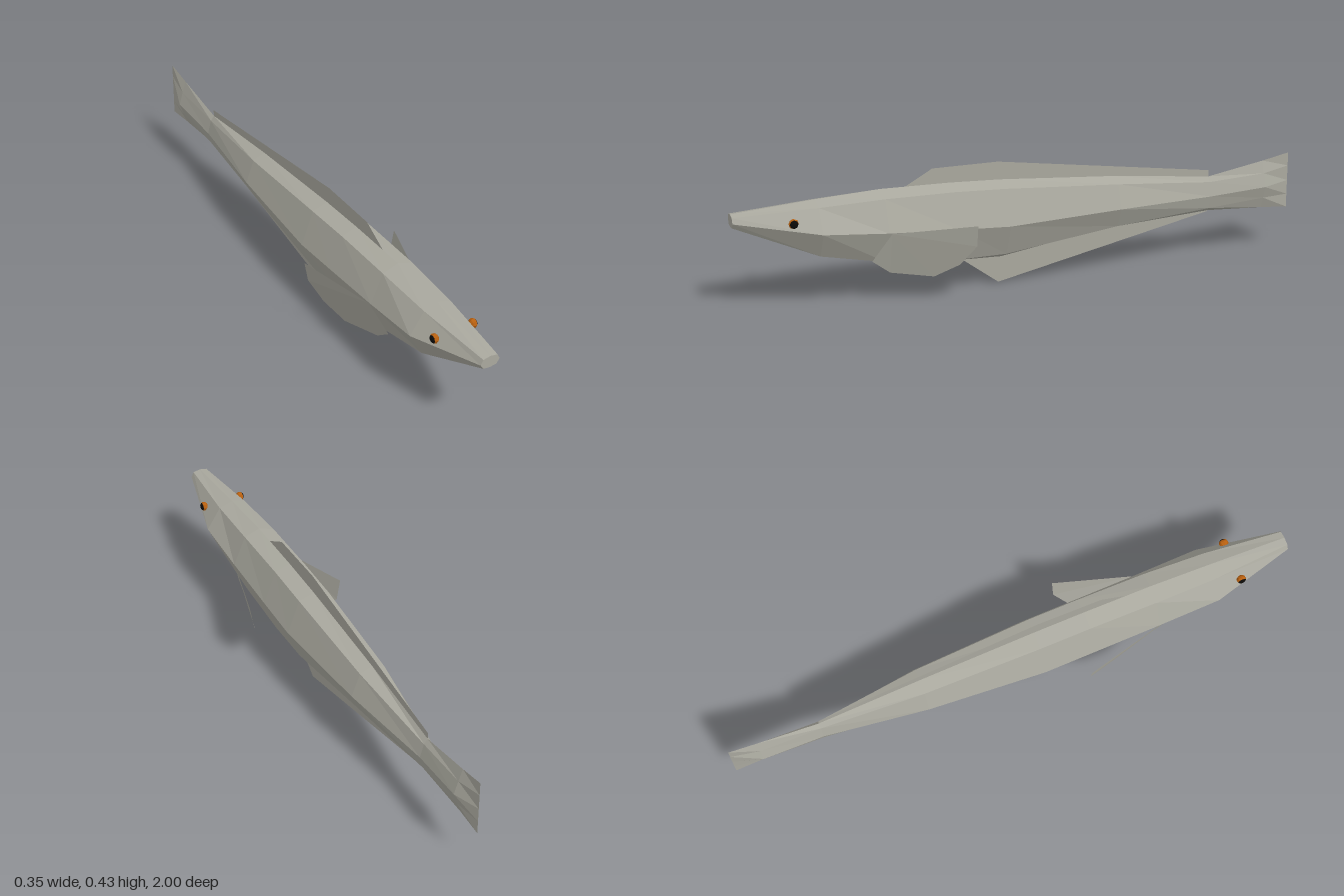
import * as THREE from 'three';

const skin = new THREE.MeshStandardMaterial({ color: 0xa9a89e, flatShading: true, side: THREE.DoubleSide });
skin.name = 'grey skin';
const iris = new THREE.MeshStandardMaterial({ color: 0xb8600f, flatShading: true });
iris.name = 'orange iris';
const pupil = new THREE.MeshStandardMaterial({ color: 0x0c0a08, flatShading: true });
pupil.name = 'black pupil';

function facets(points) {
  const g = new THREE.BufferGeometry();
  g.setAttribute('position', new THREE.Float32BufferAttribute(points.flat(), 3));
  g.computeVertexNormals();
  return g;
}

function addMesh(parent, name, geometry, material) {
  const m = new THREE.Mesh(geometry, material);
  m.name = name;
  parent.add(m);
  return m;
}

// Eight-sided ring: ridge, shoulder, flank, lower edge and keel, mirrored in x
function ring([z, top, sx, sy, fx, fy, lx, ly, keel]) {
  return [[0, top, z], [sx, sy, z], [fx, fy, z], [lx, ly, z], [0, keel, z],
    [-lx, ly, z], [-fx, fy, z], [-sx, sy, z]];
}

// Skin a run of rings from front to back, with optional end caps
function loft(sections, capFront, capBack) {
  const rings = sections.map(ring);
  const out = [];
  for (let i = 0; i < rings.length - 1; i++) {
    for (let j = 0; j < 8; j++) {
      const k = (j + 1) % 8;
      const a = rings[i][j], b = rings[i][k], c = rings[i + 1][k], d = rings[i + 1][j];
      out.push(a, b, c, a, c, d);
    }
  }
  const first = rings[0], last = rings[rings.length - 1];
  for (let j = 1; j < 7; j++) {
    if (capFront) out.push(first[0], first[j + 1], first[j]);
    if (capBack) out.push(last[0], last[j], last[j + 1]);
  }
  return facets(out);
}

// Thin fin from an outline of points, filled as a fan
function fin(points) {
  const out = [];
  for (let i = 1; i < points.length - 1; i++) out.push(points[0], points[i], points[i + 1]);
  return facets(out);
}

export function createModel() {
  const fish = new THREE.Group();
  fish.name = 'fish';

  // Body: z, ridge y, shoulder x y, flank x y, lower edge x y, keel y
  const body = [
    [1.00, 0.345, 0.026, 0.340, 0.035, 0.322, 0.024, 0.305, 0.302],
    [0.72, 0.365, 0.050, 0.350, 0.100, 0.273, 0.052, 0.185, 0.175],
    [0.50, 0.376, 0.056, 0.357, 0.100, 0.253, 0.056, 0.140, 0.128],
    [0.26, 0.372, 0.056, 0.355, 0.100, 0.238, 0.056, 0.118, 0.097],
    [0.08, 0.364, 0.056, 0.347, 0.100, 0.228, 0.056, 0.118, 0.091],
    [-0.33, 0.332, 0.045, 0.315, 0.075, 0.234, 0.042, 0.164, 0.152],
    [-0.69, 0.292, 0.013, 0.275, 0.026, 0.226, 0.014, 0.180, 0.168],
  ];
  addMesh(fish, 'body', loft(body, true, false), skin);

  // Tail fin: a wedge that narrows to a thin trailing edge
  const tail = [
    body[6],
    [-0.90, 0.328, 0.014, 0.285, 0.028, 0.238, 0.014, 0.195, 0.156],
    [-1.00, 0.348, 0, 0.300, 0, 0.246, 0, 0.195, 0.147],
  ];
  addMesh(fish, 'tailFin', loft(tail, false, false), skin);

  // Fins along the middle
  addMesh(fish, 'dorsalFin', fin([
    [0, 0.28, -0.69], [0, 0.315, -0.69], [0, 0.427, 0.09], [0, 0.427, 0.32], [0, 0.374, 0.415], [0, 0.34, 0.08],
  ]), skin);
  addMesh(fish, 'bellyFin', fin([
    [0, 0.000, 0.09], [0, 0.097, 0.22], [0, 0.12, 0.08], [0, 0.18, -0.40], [0, 0.19, -0.69], [0, 0.165, -0.69],
  ]), skin);

  for (const side of [1, -1]) {
    const name = side > 0 ? 'left' : 'right';

    // Side fin, flaring outward to the rear
    const outline = [
      [0.100, 0.250, 0.49], [0.063, 0.150, 0.55], [0.065, 0.105, 0.49], [0.100, 0.086, 0.35],
      [0.132, 0.128, 0.27], [0.162, 0.195, 0.22], [0.175, 0.269, 0.22],
    ].map(([x, y, z]) => [x * side, y, z]);
    addMesh(fish, name + 'SideFin', fin(outline), skin);

    // Eye with the pupil facing outward
    const eye = new THREE.Group();
    eye.name = name + 'Eye';
    eye.position.set(0.072 * side, 0.313, 0.81);
    eye.rotation.z = -side * Math.PI / 2;
    const split = Math.PI * 0.32;
    addMesh(eye, 'pupil', new THREE.SphereGeometry(0.017, 8, 2, 0, Math.PI * 2, 0, split), pupil);
    addMesh(eye, 'iris', new THREE.SphereGeometry(0.017, 8, 4, 0, Math.PI * 2, split, Math.PI - split), iris);
    eye.scale.y = 0.8;
    fish.add(eye);
  }
  return fish;
}
